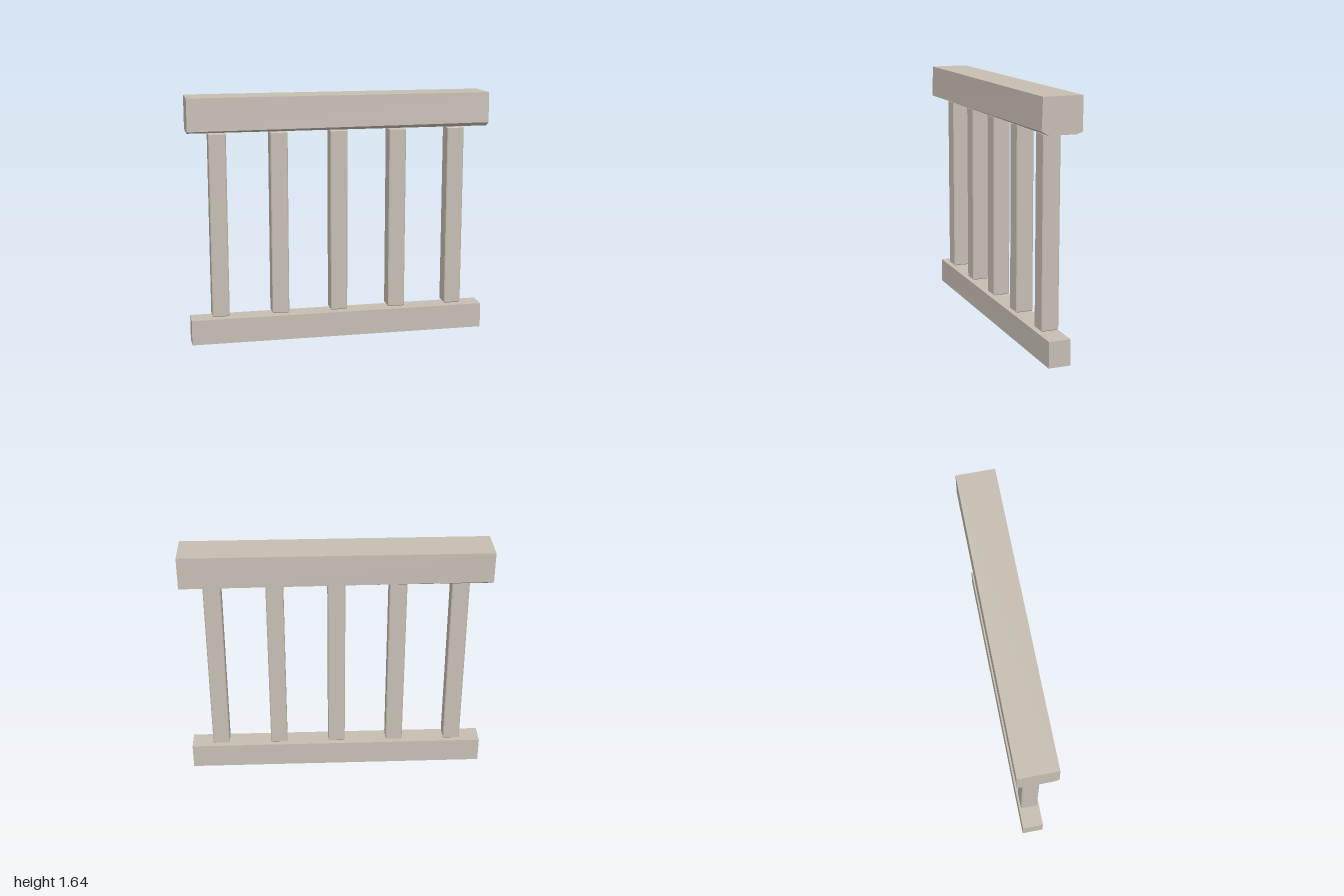
import * as THREE from 'three';

// Straight beam along x, lofted between two end sections of [z, y] points
function beam(leftEnd, rightEnd, material, name) {
  const n = leftEnd.length, pos = [];
  const a = leftEnd.map(([z, y]) => [-1, y, z]);
  const b = rightEnd.map(([z, y]) => [1, y, z]);
  const tri = (...pts) => pts.forEach((p) => pos.push(...p));
  for (let i = 0; i < n; i++) {
    const j = (i + 1) % n;
    tri(a[i], b[i], b[j]);
    tri(a[i], b[j], a[j]);
  }
  for (let i = 1; i < n - 1; i++) {
    tri(b[0], b[i + 1], b[i]);
    tri(a[0], a[i], a[i + 1]);
  }
  const geometry = new THREE.BufferGeometry();
  geometry.setAttribute('position', new THREE.Float32BufferAttribute(pos, 3));
  geometry.computeVertexNormals();
  const mesh = new THREE.Mesh(geometry, material);
  mesh.name = name;
  return mesh;
}

// Upright with lightly chamfered edges and ends
function balusterGeometry(width, height, chamfer) {
  const h = width / 2 - chamfer, c = 0.003;
  const shape = new THREE.Shape([
    [h - c, -h], [h, -h + c], [h, h - c], [h - c, h],
    [-h + c, h], [-h, h - c], [-h, -h + c], [-h + c, -h],
  ].map(([x, y]) => new THREE.Vector2(x, y)));
  const geometry = new THREE.ExtrudeGeometry(shape, {
    depth: height - 2 * chamfer, bevelEnabled: true, bevelSegments: 1,
    bevelSize: chamfer, bevelThickness: chamfer,
  });
  geometry.rotateX(-Math.PI / 2);
  geometry.translate(0, chamfer, 0);
  return geometry;
}

export function createModel() {
  const group = new THREE.Group();
  const stone = new THREE.MeshStandardMaterial({ color: 0xc6beb2, flatShading: true });
  stone.name = 'warm grey stone';

  // Hand rail with a worn, chamfered underside; sections start at the front top and go over the back
  group.add(beam(
    [[0.125, 1.643], [-0.13, 1.643], [-0.127, 1.44], [-0.09, 1.416], [0.09, 1.416], [0.13, 1.43]],
    [[0.126, 1.643], [-0.128, 1.643], [-0.13, 1.43], [-0.09, 1.416], [0.085, 1.416], [0.133, 1.443]],
    stone, 'topRail'));

  // Square base rail
  group.add(beam(
    [[0.072, 0.168], [-0.07, 0.168], [-0.07, 0], [0.072, 0]],
    [[0.072, 0.168], [-0.07, 0.168], [-0.072, 0], [0.073, 0]],
    stone, 'bottomRail'));

  // Five balusters standing between the rails
  const geometry = balusterGeometry(0.114, 1.224, 0.005);
  [-0.803, -0.401, -0.002, 0.397, 0.798].forEach((x, i) => {
    const baluster = new THREE.Mesh(geometry, stone);
    baluster.name = `baluster${i + 1}`;
    baluster.position.set(x, 0.182, 0);
    group.add(baluster);
  });
  return group;
}
